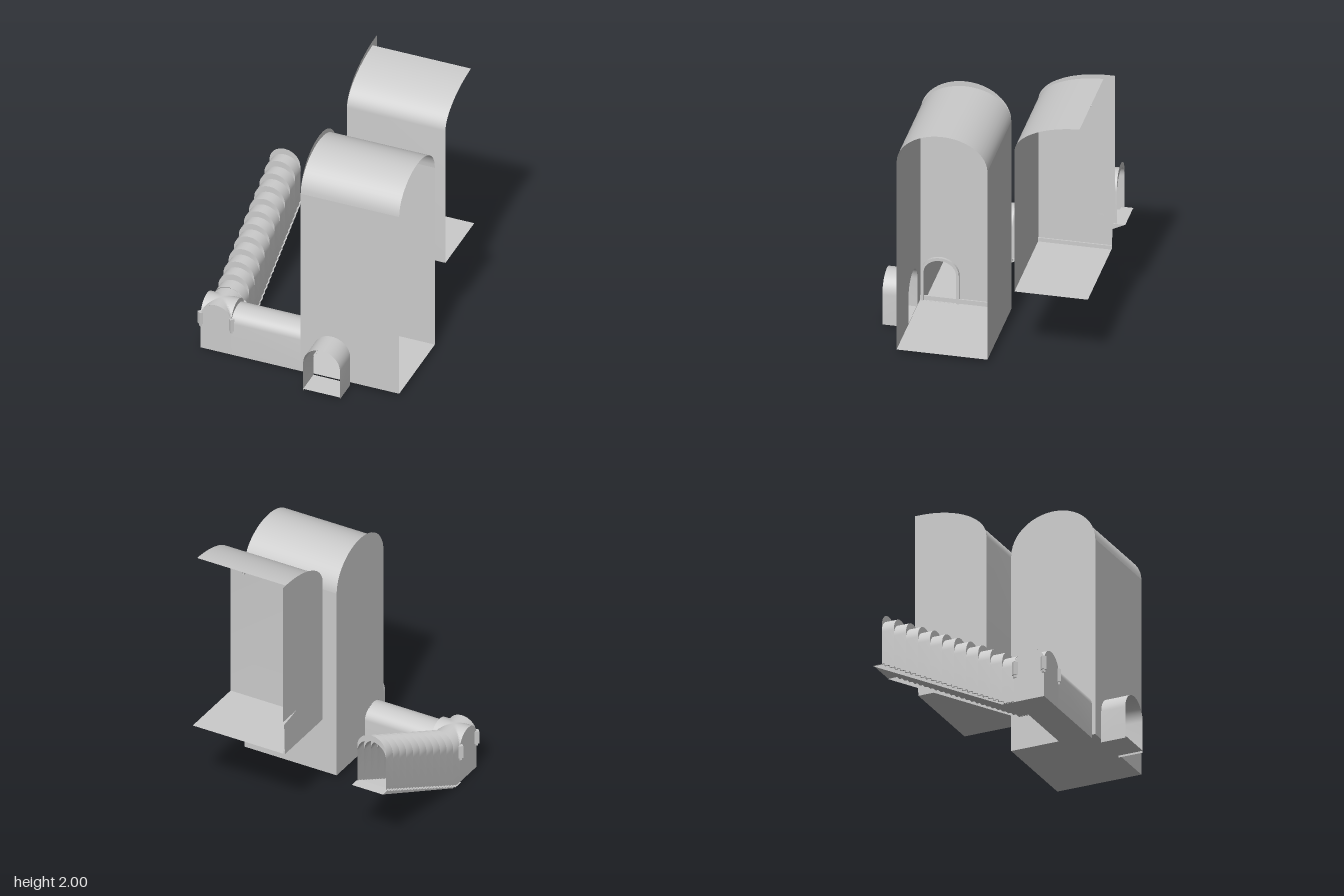
import * as THREE from 'three';
import { toCreasedNormals } from 'three/addons/utils/BufferGeometryUtils.js';

const mat = new THREE.MeshStandardMaterial({ color: 0xcccccc, side: THREE.DoubleSide });

// Elliptical arc as [h, y] points
function arc(c, r, spring, rise, from = 0, to = Math.PI, n = 24) {
  return Array.from({ length: n + 1 }, (_, i) => {
    const a = from + (to - from) * i / n;
    return [c + r * Math.cos(a), spring + rise * Math.sin(a)];
  });
}

// Walls plus vault, open at the bottom
const arch = (c, r, spring, rise, base) => [[c + r, base], ...arc(c, r, spring, rise), [c - r, base]];

// Sheet between two [h, y] profiles; h is z when running along x, and x when running along z
function sheet(pa, pb, axis, a, b) {
  const pos = [], idx = [];
  pa.forEach((p, i) => {
    for (const [q, t] of [[p, a], [pb[i], b]]) {
      if (axis === 'x') pos.push(t, q[1], q[0]);
      else pos.push(q[0], q[1], t);
    }
    if (i) {
      const k = 2 * i;
      idx.push(k - 2, k - 1, k, k - 1, k + 1, k);
    }
  });
  const g = new THREE.BufferGeometry();
  g.setAttribute('position', new THREE.Float32BufferAttribute(pos, 3));
  g.setIndex(idx);
  return toCreasedNormals(g, 0.6);
}

const shapeOf = pts => new THREE.Shape(pts.map(p => new THREE.Vector2(...p)));
// Flat wall facing x, drawn in (z, y)
const sideWall = (shape, x) => new THREE.ShapeGeometry(shape).rotateY(-Math.PI / 2).translate(x, 0, 0);
// Flat wall facing z, drawn in (x, y)
const frontWall = (shape, z) => new THREE.ShapeGeometry(shape).translate(0, 0, z);
const floorPlate = (x0, x1, z0, z1, y) =>
  new THREE.PlaneGeometry(x1 - x0, z1 - z0).rotateX(-Math.PI / 2).translate((x0 + x1) / 2, y, (z0 + z1) / 2);

export function createModel() {
  const model = new THREE.Group();
  const add = (name, geo, parent = model) => {
    const m = new THREE.Mesh(geo, mat);
    m.name = name;
    parent.add(m);
    return m;
  };
  const group = name => {
    const g = new THREE.Group();
    g.name = name;
    model.add(g);
    return g;
  };
  const rib = pts => new THREE.TubeGeometry(
    new THREE.CatmullRomCurve3(pts.map(([z, y]) => new THREE.Vector3(0.395, y, z))), 40, 0.01, 6);

  const X0 = 0.02, X1 = 0.77;

  // Main hall: front wall with doorway, back wall, vaulted roof, one end wall
  const hall = group('mainHall');
  const hc = 0.283, hr = 0.328, spring = 1.54, base = 0.025;
  const roof = arc(hc, hr, spring, 0.24);
  add('hallRoof', sheet(roof, roof, 'x', X0, X1), hall);
  const front = shapeOf([[X0, base], [X1, base], [X1, spring], [X0, spring]]);
  front.holes.push(shapeOf(arch(0.257, 0.14, 0.24, 0.138, base + 0.004)));
  add('hallFrontWall', frontWall(front, hc + hr), hall);
  const back = [[hc - hr, base], [hc - hr, spring]];
  add('hallBackWall', sheet(back, back, 'x', X0, X1), hall);
  add('hallFloor', floorPlate(X0, X1, hc - hr, hc + hr, base), hall);
  const end = shapeOf(arch(hc, hr, spring, 0.28, base));
  end.holes.push(shapeOf(arch(0.467, 0.117, 0.265, 0.09, base + 0.004)));
  add('hallEndWall', sideWall(end, X0), hall);
  add('hallSkirting', new THREE.BoxGeometry(0.01, 0.035, 2 * hr).translate(X0 + 0.005, base + 0.0175, hc), hall);
  add('hallRib', rib(arc(hc, hr - 0.01, spring, 0.23)), hall);

  // Raised arch frame round the corridor doorway
  const frame = shapeOf(arch(0.467, 0.137, 0.255, 0.125, base));
  frame.holes.push(shapeOf(arch(0.467, 0.117, 0.255, 0.102, base + 0.001)));
  add('doorFrame', new THREE.ExtrudeGeometry(frame, { depth: 0.02, bevelEnabled: false })
    .rotateY(-Math.PI / 2).translate(X0 + 0.02, 0, 0), hall);

  // Porch tunnel in front of the hall
  const porch = group('porch');
  const pp = arch(0.257, 0.14, 0.24, 0.138, 0);
  add('porchVault', sheet(pp, pp, 'z', hc + hr, 0.8), porch);
  add('porchFloor', floorPlate(0.117, 0.397, hc + hr, 0.8, 0.015), porch);

  // Rear hall: open at the back and one end
  const rear = group('rearHall');
  const rearArc = (inset, n = 24) =>
    arc(-0.75, 0.51 - inset, 1.73, 0.235 - inset, 0, Math.acos(0.04 / 0.51), n);
  const rearShell = [[-0.24, 0.6], ...rearArc(0)];
  add('rearWallAndRoof', sheet(rearShell, rearShell, 'x', X0, X1), rear);
  add('rearFloor', floorPlate(X0, X1, -0.77, -0.24, 0.6), rear);
  add('rearEndWall', sideWall(shapeOf([[-0.24, 0.6], ...arc(-0.76, 0.52, 1.74, 0.26, 0, Math.PI / 2),
    [-0.795, 2], [-0.795, 0.88], [-0.61, 0.88], [-0.68, 0.865], [-0.78, 0.85], [-0.77, 0.6]]), X0), rear);
  add('rearSkirting', new THREE.BoxGeometry(0.01, 0.03, 0.53).translate(X0 + 0.005, 0.615, -0.505), rear);
  add('rearRib', rib(rearArc(0.01)), rear);

  // Corridor joining the hall to the corner
  const cx = -0.637, cz = 0.467, r = 0.117;
  const corridor = group('corridor');
  const cp = arch(cz, r, 0.265, 0.088, 0);
  add('corridorVault', sheet(cp, cp, 'x', cx + r, X0), corridor);
  add('corridorFloor', floorPlate(cx - r, X0, cz - r, cz + r, 0), corridor);

  // Corner bay: groin vault over two gable walls, brackets on the four corners
  const corner = group('cornerBay');
  const groin = new THREE.PlaneGeometry(2 * r, 2 * r, 24, 24).rotateX(-Math.PI / 2);
  const p = groin.attributes.position;
  for (let i = 0; i < p.count; i++) {
    const m = Math.min(1, Math.abs(p.getX(i)) / r, Math.abs(p.getZ(i)) / r);
    p.setY(i, 0.275 + 0.115 * Math.sqrt(1 - m * m));
  }
  add('groinVault', toCreasedNormals(groin.translate(cx, 0, cz), 0.5), corner);
  add('frontGable', frontWall(shapeOf(arch(cx, r, 0.275, 0.115, 0)), cz + r), corner);
  add('sideGable', sideWall(shapeOf(arch(cz, r, 0.275, 0.115, 0)), cx - r), corner);
  const lintel = shapeOf([[cz + r, 0.265], ...arc(cz, r, 0.275, 0.115), [cz - r, 0.265],
    ...arc(cz, r, 0.265, 0.088).reverse()]);
  add('corridorLintel', sideWall(lintel, cx + r), corner);
  for (const sx of [-1, 1]) for (const sz of [-1, 1]) {
    const b = new THREE.Group();
    b.name = 'cornerBracket';
    b.position.set(cx + sx * r, 0, cz + sz * (r - 0.005));
    b.rotation.y = Math.PI / 4;
    corner.add(b);
    add('bracketBlock', new THREE.BoxGeometry(0.034, 0.1, 0.034).translate(0, 0.255, 0), b);
    add('bracketFoot', new THREE.BoxGeometry(0.02, 0.02, 0.02).translate(0, 0.195, 0), b);
  }

  // Rising tunnel: stepped barrel segments with crescent risers between them
  const tunnel = group('stairTunnel');
  const N = 11, z0 = 0.35, run = 0.094, rise = 0.0475;
  const springAt = k => 0.278 + k * rise;
  const bottom = z => Math.max(0, (0.255 - z) * 0.497);
  for (let k = 0; k < N; k++) {
    const za = z0 - k * run, zb = za - run;
    add('tunnelSegment', sheet(arch(cx, r, springAt(k), r, bottom(za)),
      arch(cx, r, springAt(k), r, bottom(zb)), 'z', za, zb), tunnel);
    const crescent = shapeOf([...arc(cx, r, springAt(k + 1), r), ...arc(cx, r, springAt(k), r).reverse()]);
    add('tunnelRiser', frontWall(crescent, zb), tunnel);
  }

  // Stair flight, slightly wider than the tunnel, with a landing at the top
  const stairs = group('stairs');
  const steps = 24, sz0 = 0.27, treadRun = 0.0404, stepRise = 0.5 / steps;
  const line = [[0.35, 0.002]];
  for (let i = 0; i < steps; i++) {
    const z = sz0 - i * treadRun;
    line.push([z, i * stepRise + 0.002], [z, (i + 1) * stepRise]);
  }
  line.push([-0.745, 0.5]);
  add('stairFlight', sheet(line, line, 'x', cx - r - 0.01, cx + r + 0.01), stairs);

  // Pointed side plates carrying the landing
  const tip = shapeOf([[-0.684, bottom(-0.684)], [-0.75, 0.5], [-0.684, 0.5]]);
  for (const s of [-1, 1]) add('landingBracket', sideWall(tip, cx + s * r), stairs);

  return model;
}
